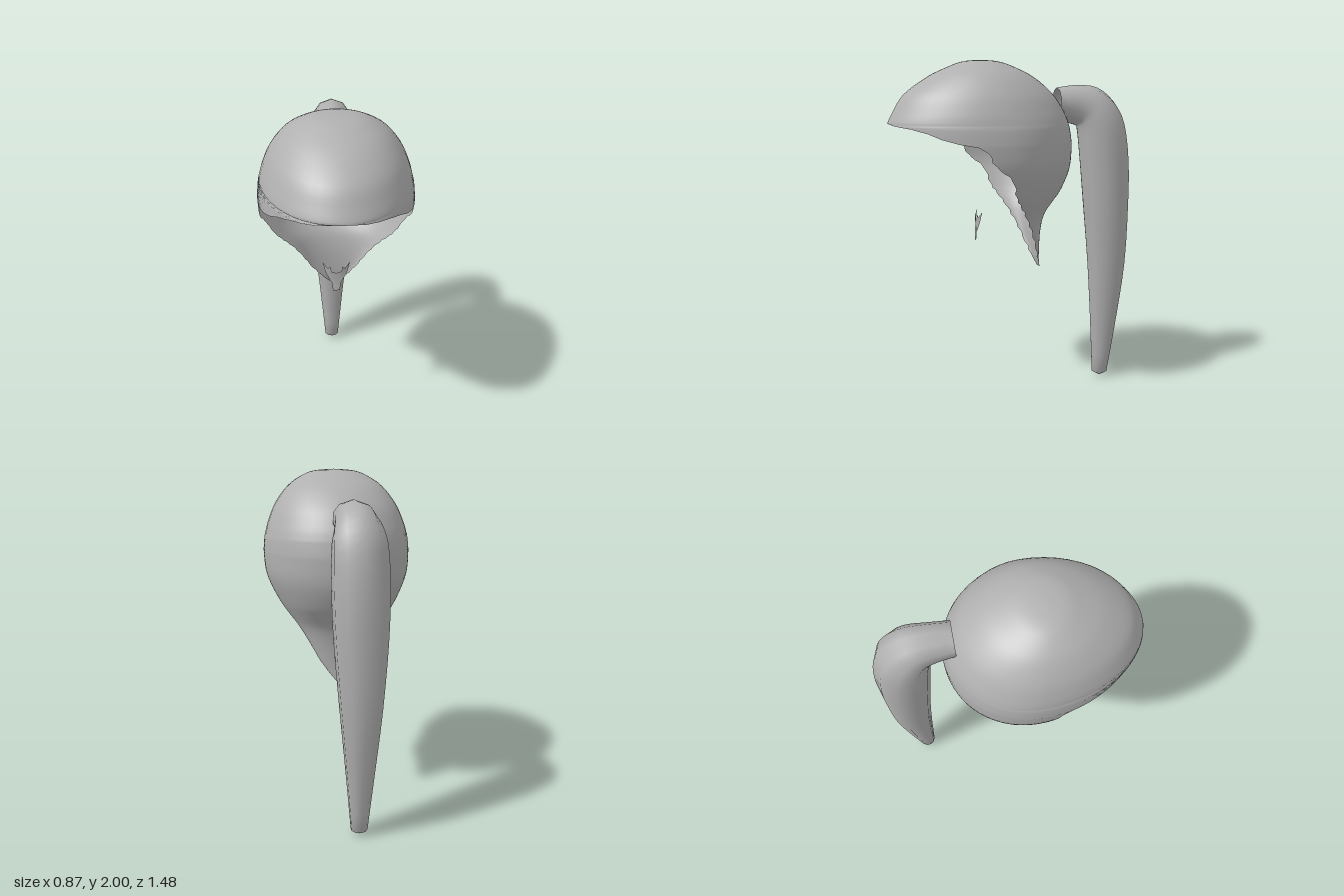
import * as THREE from 'three';
import { mergeVertices } from 'three/addons/utils/BufferGeometryUtils.js';

// Smooth skin over a list of cross-sections, all with the same point count
function loft(sections) {
  const cols = sections[0].length;
  const index = [];
  for (let i = 0; i < sections.length - 1; i++) {
    for (let j = 0; j < cols - 1; j++) {
      const a = i * cols + j, b = a + cols;
      index.push(a, b, a + 1, b, b + 1, a + 1);
    }
  }
  let geometry = new THREE.BufferGeometry().setFromPoints(sections.flat());
  geometry.setIndex(index);
  geometry = mergeVertices(geometry, 1e-5);
  geometry.computeVertexNormals();
  return geometry;
}

const spline = (points) => new THREE.CatmullRomCurve3(points, false, 'catmullrom', 0.5);

// Hair cap: horizontal ovals, opened at the front below the hairline
function capGeometry() {
  // y, half width, z of widest point, front z, back z, hairline z
  const rows = [
    [2.0, 0, 0.2, 0.2, 0.2, 0.2],
    [1.99, 0.12, 0.19, 0.3, 0.09, 0.3],
    [1.96, 0.2, 0.18, 0.385, 0, 0.385],
    [1.9, 0.285, 0.16, 0.51, -0.12, 0.51],
    [1.8, 0.36, 0.14, 0.645, -0.235, 0.645],
    [1.7, 0.403, 0.13, 0.708, -0.3, 0.708],
    [1.64, 0.42, 0.12, 0.738, -0.325, 0.738],
    [1.607, 0.428, 0.12, 0.738, -0.333, 0.59],
    [1.55, 0.434, 0.12, 0.735, -0.343, 0.43],
    [1.51, 0.435, 0.12, 0.73, -0.345, 0.26],
    [1.42, 0.428, 0.11, 0.72, -0.342, 0.195],
    [1.34, 0.405, 0.1, 0.7, -0.325, 0.1],
    [1.24, 0.355, 0.065, 0.7, -0.28, 0.065],
    [1.18, 0.315, 0.03, 0.7, -0.235, 0.03],
    [1.1, 0.255, -0.02, 0.7, -0.18, -0.02],
    [1.0, 0.195, -0.07, 0.7, -0.156, -0.07],
    [0.89, 0.135, -0.11, 0.7, -0.15, -0.11],
    [0.8, 0.068, -0.143, 0.7, -0.154, -0.143],
    [0.755, 0.03, -0.162, 0.7, -0.166, -0.162],
  ];
  const size = spline(rows.map((r) => new THREE.Vector3(r[1], r[0], r[2])));
  const reach = spline(rows.map((r) => new THREE.Vector3(r[3], r[4], r[5])));
  const steps = (rows.length - 1) * 4, cols = 48, sections = [];
  for (let i = 0; i <= steps; i++) {
    const { x: width, y, z: mid } = size.getPoint(i / steps);
    const { x: front, y: back, z: line } = reach.getPoint(i / steps);
    // slightly ragged hairline
    const edge = line + (i > 26 && i < steps - 4 ? 0.006 * Math.sin(i * 2.3) : 0);
    const radius = Math.max(edge > mid ? front - mid : mid - back, 1e-6);
    const start = i <= 24 ? 0 : Math.acos(THREE.MathUtils.clamp((edge - mid) / radius, -1, 1));
    const section = [];
    for (let j = 0; j <= cols; j++) {
      const a = start + (2 * Math.PI - 2 * start) * j / cols;
      const c = Math.cos(a);
      section.push(new THREE.Vector3(width * Math.sin(a), y, mid + c * (c > 0 ? front - mid : mid - back)));
    }
    sections.push(section);
  }
  return loft(sections);
}

// Ponytail: ten-sided rings spanning an outer and an inner side line
function ponytailGeometry() {
  // outer z, outer y, inner z, inner y, half width
  const rings = [
    [-0.27, 1.845, -0.27, 1.66, 0.095],
    [-0.4, 1.86, -0.36, 1.63, 0.105],
    [-0.525, 1.845, -0.39, 1.62, 0.12],
    [-0.63, 1.765, -0.4, 1.6, 0.14],
    [-0.7, 1.635, -0.408, 1.54, 0.152],
    [-0.735, 1.4, -0.425, 1.38, 0.155],
    [-0.74, 1.13, -0.45, 1.13, 0.147],
    [-0.73, 0.76, -0.485, 0.76, 0.118],
    [-0.685, 0.39, -0.51, 0.39, 0.082],
    [-0.63, 0.03, -0.53, 0.03, 0.048],
  ];
  const outer = spline(rings.map((r) => new THREE.Vector3(0, r[1], r[0])));
  const inner = spline(rings.map((r) => new THREE.Vector3(r[4], r[3], r[2])));
  const steps = (rings.length - 1) * 3, sides = 10, sections = [];
  for (let i = 0; i <= steps; i++) {
    const o = outer.getPoint(i / steps), n = inner.getPoint(i / steps);
    const section = [];
    for (let j = 0; j <= sides; j++) {
      const a = 2 * Math.PI * j / sides, k = (1 + Math.cos(a)) / 2;
      section.push(new THREE.Vector3(n.x * Math.sin(a), o.y + (n.y - o.y) * k, o.z + (n.z - o.z) * k));
    }
    sections.push(section);
  }
  // closed tip
  sections.push(sections[steps].map(() => new THREE.Vector3(0, 0, -0.58)));
  return loft(sections);
}

// Chin tuft: a small forked patch bent around the chin
function chinGeometry() {
  const half = [[0.02, 0.94], [0.026, 0.99], [0.06, 1.05], [0.08, 1.12], [0.05, 1.085], [0.036, 1.1], [0.028, 1.068]];
  const mirrored = half.map(([x, y]) => [-x, y]).reverse();
  const outline = [...half, [0, 1.06], ...mirrored].map(([x, y]) => new THREE.Vector2(x, y));
  const geometry = new THREE.ShapeGeometry(new THREE.Shape(outline));
  const p = geometry.attributes.position;
  for (let i = 0; i < p.count; i++) p.setZ(i, 0.235 - 4.5 * p.getX(i) ** 2);
  geometry.computeVertexNormals();
  return geometry;
}

export function createModel() {
  const group = new THREE.Group();
  const hair = new THREE.MeshStandardMaterial({ color: 0xb0b0b0, side: THREE.DoubleSide });
  hair.name = 'hair grey';
  const parts = { hairCap: capGeometry(), ponytail: ponytailGeometry(), chinTuft: chinGeometry() };
  for (const [name, geometry] of Object.entries(parts)) {
    const mesh = new THREE.Mesh(geometry, hair);
    mesh.name = name;
    group.add(mesh);
  }
  return group;
}
